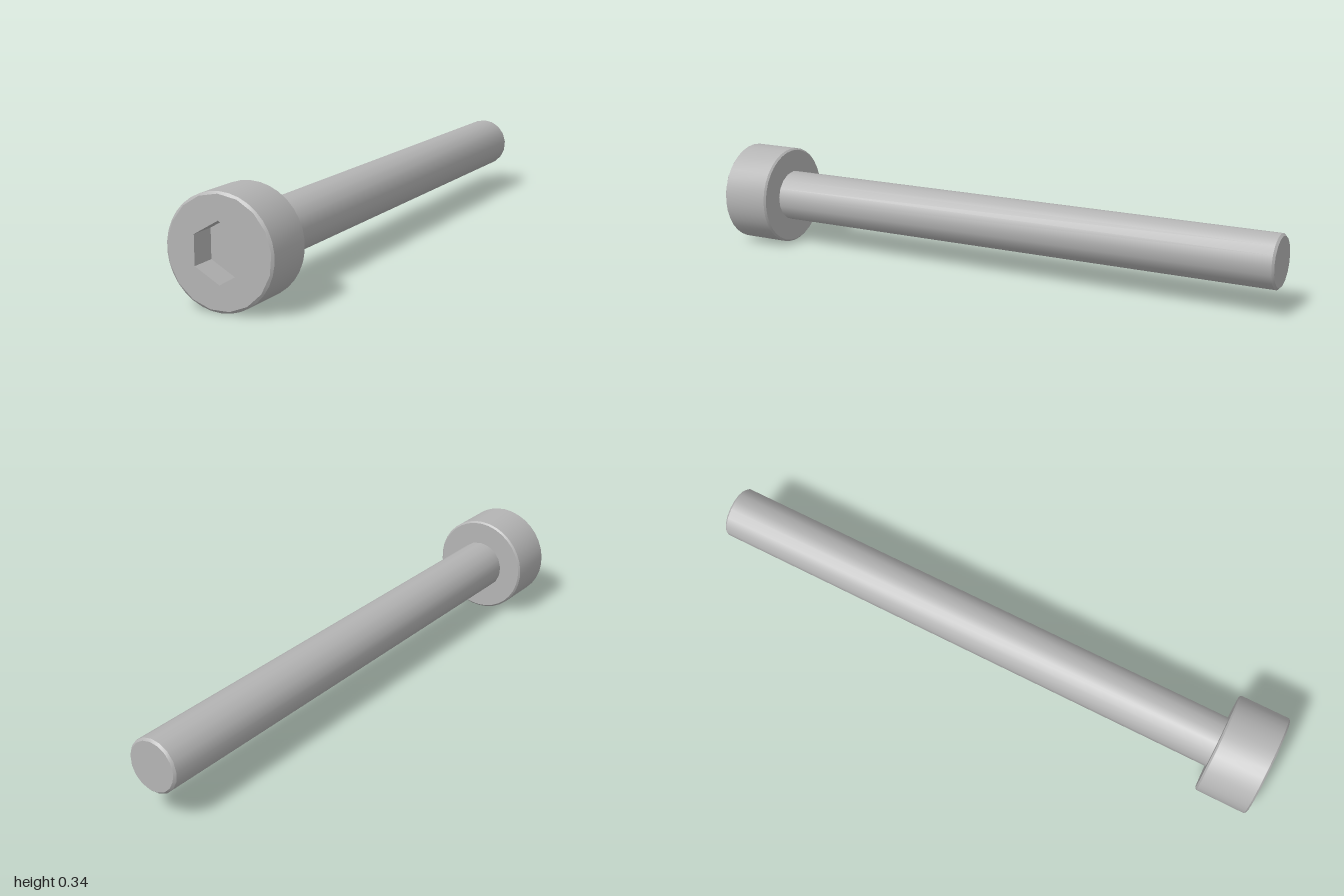
import * as THREE from 'three';
import { toCreasedNormals } from 'three/addons/utils/BufferGeometryUtils.js';

const SIDES = 17;
const AXIS_Y = 0.172;

// Lathe a [radius, z] profile around the z axis, with a corner at the top
function turn(profile, sides, crease, rule) {
  const points = profile.map(([r, z]) => new THREE.Vector2(r, z));
  const geo = new THREE.LatheGeometry(points, sides, Math.PI);
  geo.rotateX(Math.PI / 2);
  if (rule) rule(geo.attributes.position);
  return toCreasedNormals(geo, crease);
}

// Regular polygon outline with a corner at the top
function polygon(radius, sides) {
  return Array.from({ length: sides }, (_, i) => {
    const a = Math.PI / 2 + (i / sides) * Math.PI * 2;
    return new THREE.Vector2(radius * Math.cos(a), radius * Math.sin(a));
  });
}

export function createModel() {
  const steel = new THREE.MeshStandardMaterial({ color: 0xb4b4b4 });
  steel.name = 'grey steel';
  const group = new THREE.Group();
  group.name = 'socketHeadBolt';
  const add = (name, geo) => {
    const mesh = new THREE.Mesh(geo, steel);
    mesh.name = name;
    mesh.position.y = AXIS_Y;
    group.add(mesh);
  };

  // Head: round wall, chamfered rims; the front rim has half as many sides
  const headProfile = [[0, 0.82], [0.165, 0.82], [0.171, 0.826], [0.171, 0.994], [0.165, 1]];
  const rows = headProfile.length;
  add('head', turn(headProfile, SIDES * 2, 0.5, (pos) => {
    const k = Math.cos(Math.PI / SIDES);
    for (let i = 1; i <= SIDES * 2; i += 2) {
      const v = i * rows + rows - 1;
      pos.setXY(v, pos.getX(v) * k, pos.getY(v) * k);
    }
  }));

  // Front face with the hexagonal opening
  const face = new THREE.Shape(polygon(0.165, SIDES));
  face.holes.push(new THREE.Path(polygon(0.0905, 6)));
  add('headFace', new THREE.ShapeGeometry(face).translate(0, 0, 1));

  // Hexagonal socket: walls and floor facing inwards
  add('socket', turn([[0.0905, 1], [0.0905, 0.915], [0, 0.915]], 6, 0.3));

  // Shank with a chamfered tip
  add('shank', turn([[0, -1], [0.081, -1], [0.088, -0.993], [0.088, 0.82]], SIDES, 0.5));

  return group;
}
